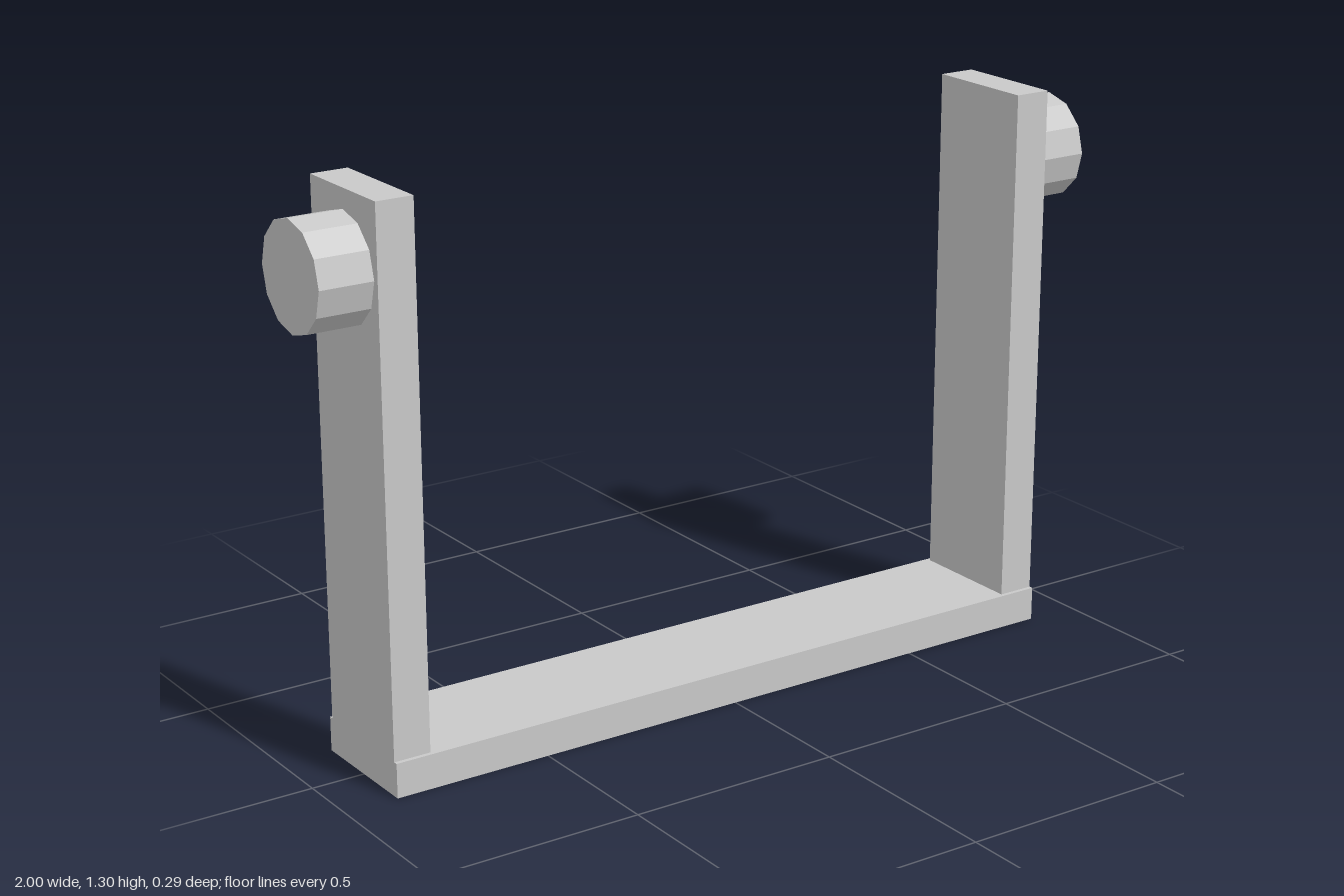
import * as THREE from 'three';

export function createModel() {
  const group = new THREE.Group();
  const grey = new THREE.MeshStandardMaterial({ color: 0xc8c8c8, flatShading: true });
  grey.name = 'light grey';

  const add = (name, geometry, x, y) => {
    const mesh = new THREE.Mesh(geometry, grey);
    mesh.name = name;
    mesh.position.set(x, y, 0);
    group.add(mesh);
    return mesh;
  };

  // Flat crossbar at the bottom, slightly deeper than the arms
  const baseHeight = 0.08, top = 1.3, outer = 0.875, armWidth = 0.088;
  add('base', new THREE.BoxGeometry(outer * 2, baseHeight, 0.294), 0, baseHeight / 2);

  // Mirrored upright arms with twelve-sided pivot pins on the outside
  const armHeight = top - baseHeight, pinLength = 1 - outer;
  for (const [side, s] of [['left', 1], ['right', -1]]) {
    add(side + 'Arm', new THREE.BoxGeometry(armWidth, armHeight, 0.274),
      s * (outer - armWidth / 2), baseHeight + armHeight / 2);
    const pin = add(side + 'Pin', new THREE.CylinderGeometry(0.123, 0.123, pinLength, 12),
      s * (outer + pinLength / 2), 1.132);
    pin.rotation.z = -s * Math.PI / 2;
  }
  return group;
}
